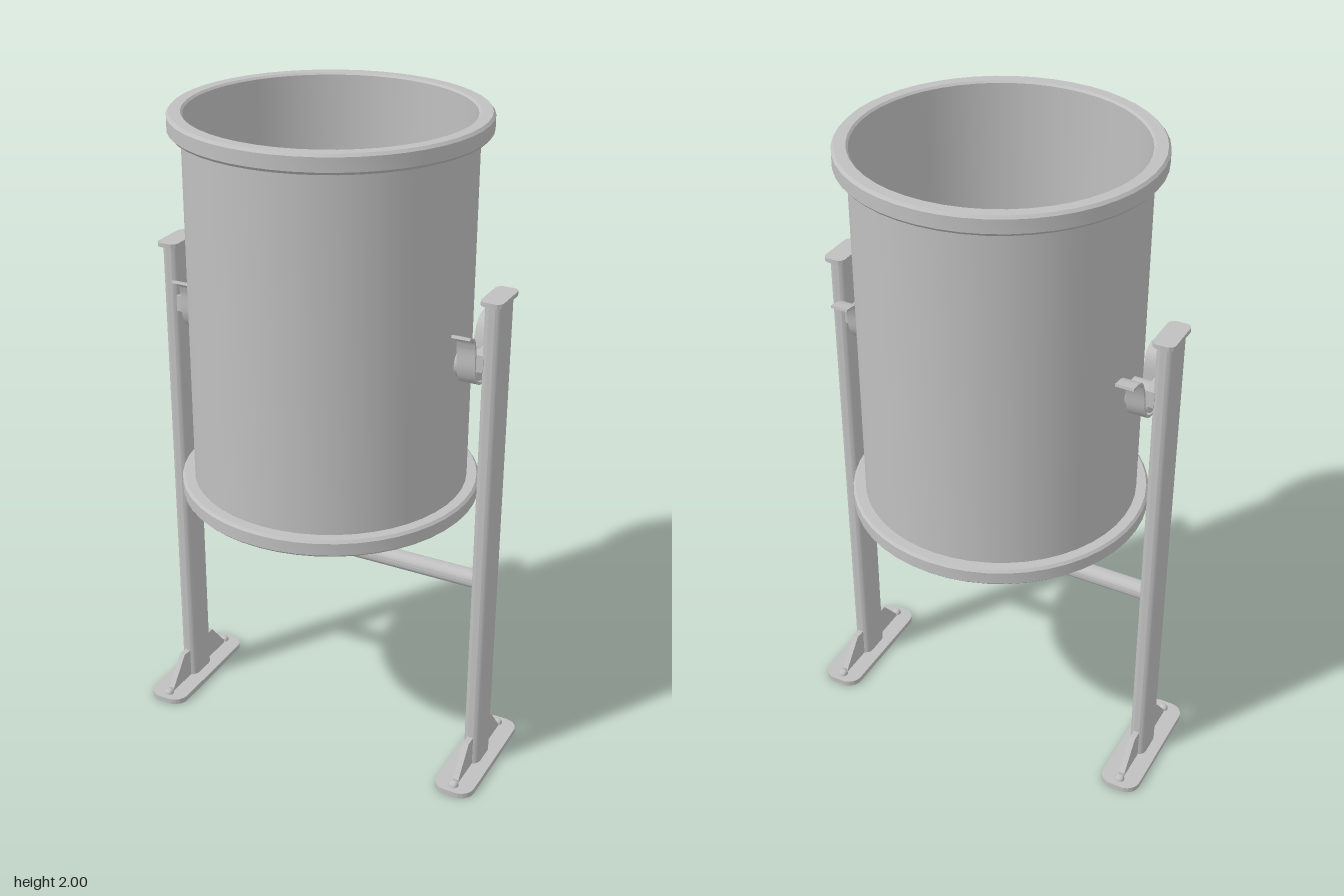
import * as THREE from 'three';
import { toCreasedNormals } from 'three/addons/utils/BufferGeometryUtils.js';

export function createModel() {
  const model = new THREE.Group();
  model.name = 'tippingBin';
  const steel = new THREE.MeshStandardMaterial({ color: 0xc0c0c0 });
  steel.name = 'greySteel';

  const add = (name, geo, parent = model, x = 0, y = 0, z = 0) => {
    const mesh = new THREE.Mesh(toCreasedNormals(geo, 0.55), steel);
    mesh.name = name;
    mesh.position.set(x, y, z);
    parent.add(mesh);
    return mesh;
  };
  const v = (x, y) => new THREE.Vector2(x, y);

  // Rounded rectangle outline, centred
  const rounded = (w, d, r, Type = THREE.Shape) => {
    const s = new Type(), a = w / 2, b = d / 2;
    s.moveTo(a, -b + r);
    s.lineTo(a, b - r);
    s.absarc(a - r, b - r, r, 0, Math.PI / 2);
    s.lineTo(-a + r, b);
    s.absarc(-a + r, b - r, r, Math.PI / 2, Math.PI);
    s.lineTo(-a, -b + r);
    s.absarc(-a + r, -b + r, r, Math.PI, Math.PI * 1.5);
    s.lineTo(a - r, -b);
    s.absarc(a - r, -b + r, r, Math.PI * 1.5, Math.PI * 2);
    return s;
  };
  // Extrude a plan outline upwards from y = 0
  const upright = (shape, height) =>
    new THREE.ExtrudeGeometry(shape, { depth: height, bevelEnabled: false, curveSegments: 8 })
      .rotateX(-Math.PI / 2);
  // Extrude a side outline (-z, y) along x, centred on x = 0
  const sideways = (shape, width) =>
    new THREE.ExtrudeGeometry(shape, { depth: width, bevelEnabled: false })
      .translate(0, 0, -width / 2).rotateY(Math.PI / 2);

  // Barrel with rolled rims and recessed floor
  const profile = [
    [0, 0.875], [0.405, 0.875], [0.405, 0.853], [0.438, 0.853], [0.445, 0.86],
    [0.445, 0.897], [0.438, 0.905], [0.408, 0.905], [0.408, 1.945], [0.438, 1.945],
    [0.445, 1.953], [0.445, 1.992], [0.438, 2], [0.406, 2], [0.4, 1.994],
    [0.4, 0.89], [0, 0.89],
  ].map(([x, y]) => v(x, y));
  add('barrel', new THREE.LatheGeometry(profile, 48));

  // Crossbar between the posts
  add('crossbar', new THREE.CylinderGeometry(0.028, 0.028, 0.98, 20).rotateZ(Math.PI / 2),
    model, 0, 0.648, 0);

  // Hook strip: a curve thickened to both sides
  const hookCurve = new THREE.SplineCurve([
    v(-0.1, 1.45), v(-0.068, 1.435), v(-0.055, 1.4), v(-0.052, 1.34), v(-0.035, 1.3),
    v(0, 1.285), v(0.035, 1.295), v(0.058, 1.33), v(0.07, 1.39), v(0.095, 1.435), v(0.148, 1.446),
  ]);
  const outer = [], inner = [];
  for (let i = 0; i <= 40; i++) {
    const p = hookCurve.getPoint(i / 40), t = hookCurve.getTangent(i / 40);
    outer.push(v(p.x + t.y * 0.004, p.y - t.x * 0.004));
    inner.unshift(v(p.x - t.y * 0.004, p.y + t.x * 0.004));
  }
  const hookShape = new THREE.Shape([...outer, ...inner]);

  // Posts, feet and pivots on both sides
  for (const side of [-1, 1]) {
    const stand = new THREE.Group();
    stand.name = side > 0 ? 'leftStand' : 'rightStand';
    stand.position.x = side * 0.513;
    model.add(stand);

    const tube = rounded(0.054, 0.11, 0.026);
    tube.holes.push(rounded(0.046, 0.102, 0.022, THREE.Path));
    add('post', upright(tube, 1.538), stand, 0, 0.002, 0);
    add('postCap', upright(rounded(0.066, 0.138, 0.02), 0.013), stand, 0, 1.538, 0);

    const plate = rounded(0.125, 0.415, 0.045);
    plate.holes.push(rounded(0.054, 0.11, 0.026, THREE.Path));
    add('footPlate', upright(plate, 0.018), stand);

    for (const end of [-1, 1]) {
      const gusset = new THREE.Shape([v(0.05, 0.015), v(0.16, 0.015), v(0.16, 0.028),
        v(0.088, 0.115), v(0.05, 0.115)]);
      const geo = sideways(gusset, 0.018);
      if (end > 0) geo.rotateY(Math.PI);
      add('gusset', geo, stand);
      add('bolt', new THREE.SphereGeometry(0.016, 16, 6, 0, Math.PI * 2, 0, Math.PI / 2),
        stand, 0, 0.017, end * 0.176);
    }

    // Hook fixed to the post, carrying the barrel's pivot pin
    add('hook', sideways(hookShape, 0.055), stand, -side * 0.067, 0, 0);
    add('hookMount', new THREE.BoxGeometry(0.03, 0.05, 0.1), stand, -side * 0.034, 1.362, 0);
    add('pivotPin', new THREE.CylinderGeometry(0.044, 0.044, 0.085, 24).rotateZ(Math.PI / 2),
      stand, -side * 0.082, 1.337, 0);
  }
  return model;
}
